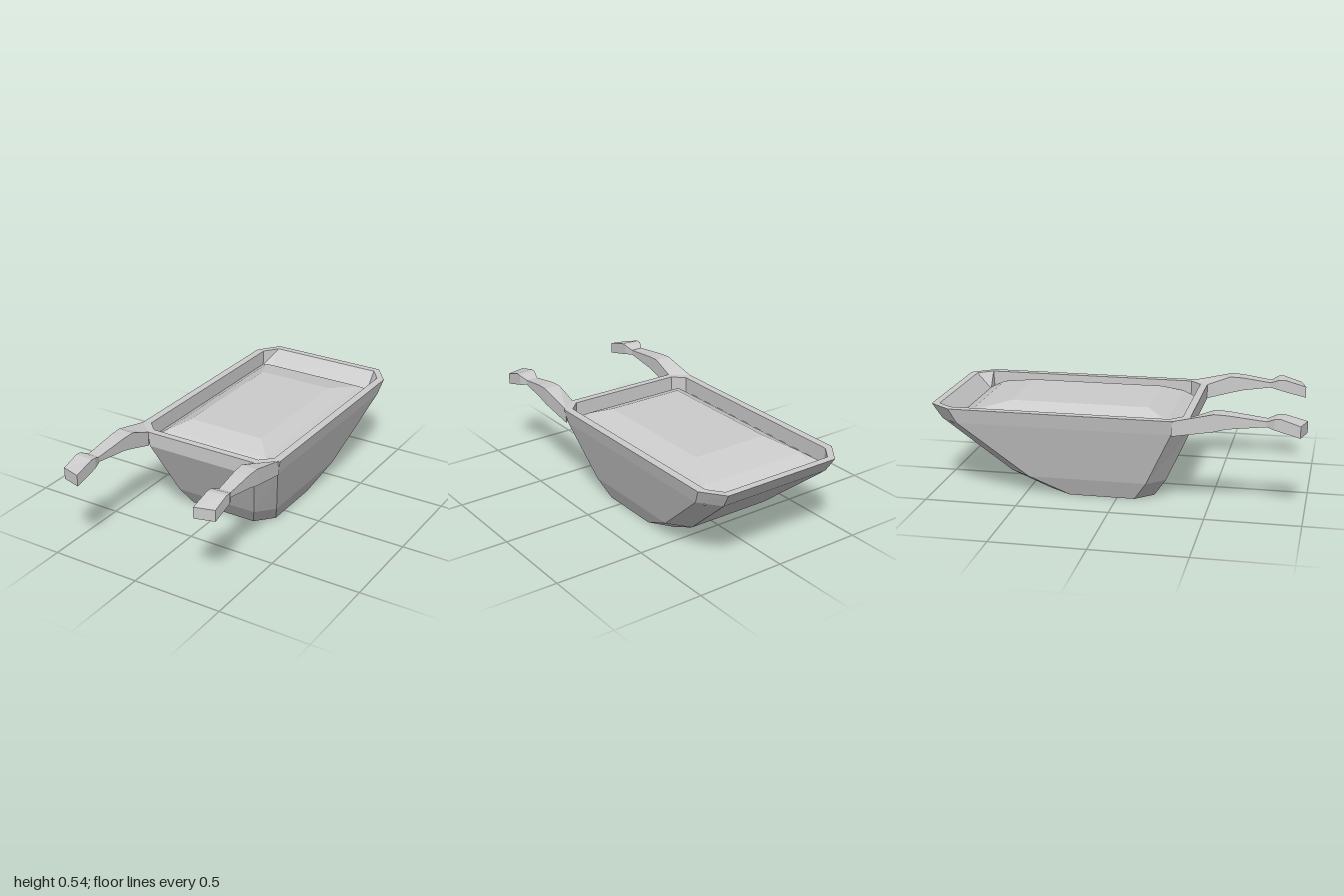
import * as THREE from 'three';

const material = new THREE.MeshStandardMaterial({ color: 0xcccccc, flatShading: true });

// Skin a list of matching closed rings, with optional end caps
function loft(name, rings, capStart = true, capEnd = true) {
  const pos = [];
  const tri = (a, b, c) => pos.push(...a, ...b, ...c);
  const n = rings[0].length;
  for (let r = 0; r < rings.length - 1; r++) {
    const a = rings[r], b = rings[r + 1];
    for (let i = 0; i < n; i++) {
      const j = (i + 1) % n;
      tri(a[i], a[j], b[j]);
      tri(a[i], b[j], b[i]);
    }
  }
  const first = rings[0], last = rings[rings.length - 1];
  for (let i = 1; i < n - 1; i++) {
    if (capStart) tri(first[0], first[i + 1], first[i]);
    if (capEnd) tri(last[0], last[i], last[i + 1]);
  }
  const geometry = new THREE.BufferGeometry();
  geometry.setAttribute('position', new THREE.Float32BufferAttribute(pos, 3));
  geometry.computeVertexNormals();
  const mesh = new THREE.Mesh(geometry, material);
  mesh.name = name;
  return mesh;
}

// Rectangle with cut corners: half width, front z, back z, cuts in x / front z / back z
function cutRect(y, hx, zf, zb, cx, cf, cb) {
  return [
    [hx, y, zf - cf], [hx, y, zb + cb], [hx - cx, y, zb], [cx - hx, y, zb],
    [-hx, y, zb + cb], [-hx, y, zf - cf], [cx - hx, y, zf], [hx - cx, y, zf],
  ];
}

// Handle: sections of [outer z, inner z, outer x, inner x, bottom y, top y]
function handle(name, side, gripShift) {
  const s = gripShift;
  const sections = [
    [0.315, 0.40, 0.425, 0.33, 0.41, 0.49],
    [0.53, 0.53, 0.425, 0.335, 0.447, 0.54],
    [0.60, 0.60, 0.422, 0.338, 0.465, 0.537],
    [0.80 + s, 0.80 + s, 0.415, 0.347, 0.487, 0.515],
    [0.84 + s, 0.85 + s, 0.435, 0.332, 0.478, 0.535],
    [0.87 + s, 0.88 + s, 0.435, 0.332, 0.47, 0.537],
    [0.97 + s, 1.0 + s, 0.436, 0.33, 0.443, 0.505],
  ];
  const rings = sections.map(([zo, zi, xo, xi, yb, yt]) => {
    const ring = [[side * xo, yb, zo], [side * xo, yt, zo], [side * xi, yt, zi], [side * xi, yb, zi]];
    return side > 0 ? ring : ring.reverse();
  });
  return loft(name, rings);
}

export function createModel() {
  const group = new THREE.Group();
  group.name = 'barrow';

  // Tray: outside from the base up, across the rim, down the inner wall
  const tray = loft('tray', [
    cutRect(0, 0.28, 0.19, -0.385, 0.085, 0.095, 0.125),
    cutRect(0.105, 0.325, 0.26, -0.59, 0.085, 0.095, 0.115),
    cutRect(0.41, 0.412, 0.40, -0.95, 0.085, 0.09, 0.11),
    cutRect(0.49, 0.43, 0.40, -1.0, 0.09, 0.08, 0.12),
    cutRect(0.49, 0.386, 0.36, -0.96, 0.06, 0.06, 0.08),
    cutRect(0.40, 0.386, 0.36, -0.88, 0.06, 0.06, 0.005),
  ]);

  // Load: shallow heap with a flat top filling the tray
  const load = loft('load', [
    cutRect(0.405, 0.386, 0.36, -0.88, 0.06, 0.06, 0.005),
    cutRect(0.455, 0.31, 0.27, -0.79, 0.01, 0.01, 0.01),
    cutRect(0.498, 0.22, 0.16, -0.59, 0.005, 0.005, 0.005),
  ], false);
  tray.position.x = load.position.x = 0.004;

  group.add(tray, load, handle('leftHandle', 1, -0.045), handle('rightHandle', -1, 0));
  return group;
}
